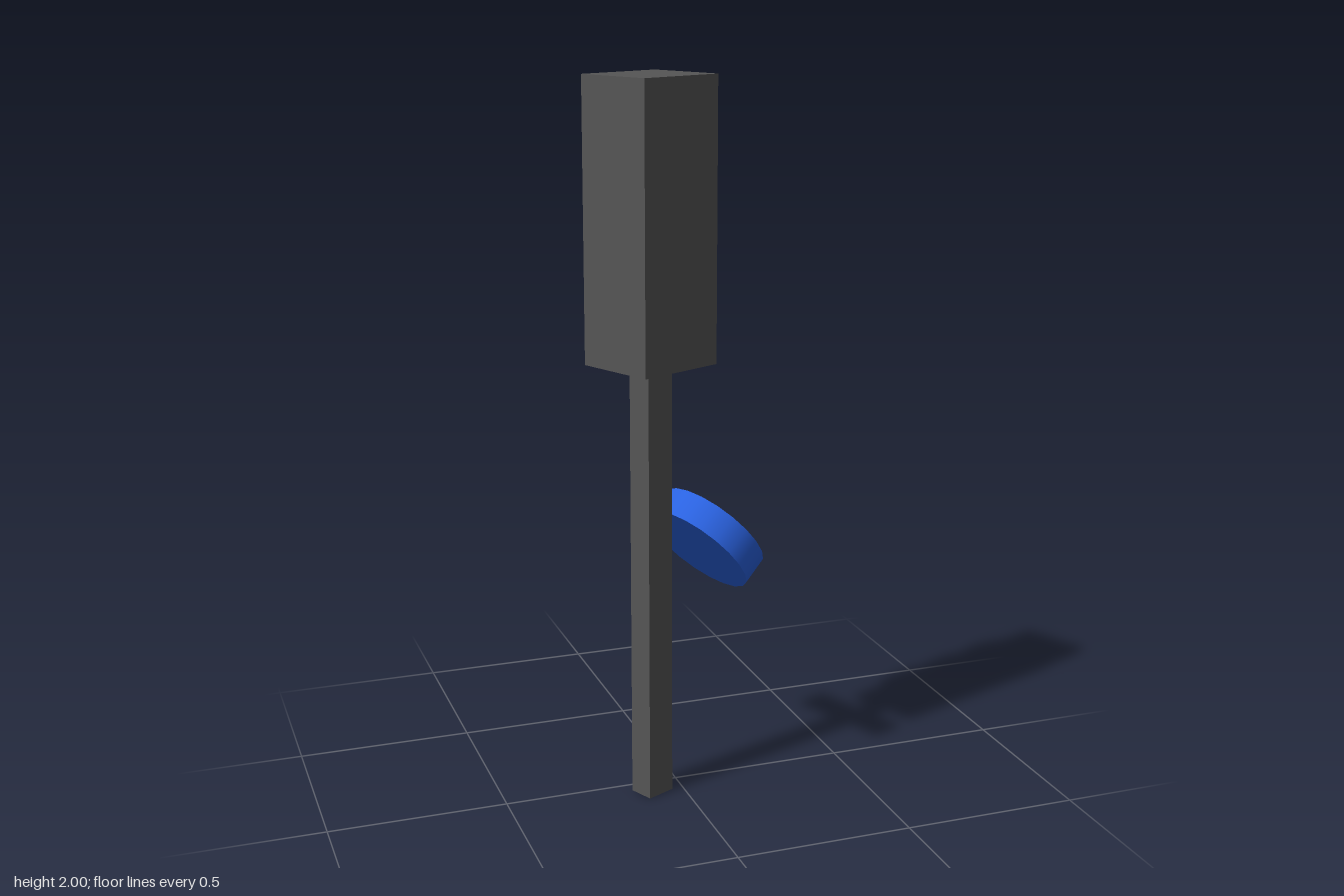
import * as THREE from 'three';

function makeMesh(name, geometry, color) {
  const mesh = new THREE.Mesh(geometry, new THREE.MeshStandardMaterial({ color }));
  mesh.name = name;
  return mesh;
}

export function createModel() {
  const model = new THREE.Group();
  model.name = 'trafficLight';

  // Signal post, turned about its vertical axis; lamps face local -z
  const signal = new THREE.Group();
  signal.name = 'signal';
  signal.position.set(-0.087, 0, 0.05);
  signal.rotation.y = THREE.MathUtils.degToRad(25);
  model.add(signal);

  const grey = 0x555555;
  const pole = makeMesh('pole', new THREE.BoxGeometry(0.087, 1.24, 0.073), grey);
  pole.position.y = 0.62;
  const housing = makeMesh('housing', new THREE.BoxGeometry(0.26, 0.76, 0.235), grey);
  housing.position.y = 1.62;
  signal.add(pole, housing);

  // Flattened round lamps
  const lamps = [
    ['redLamp', 1.825, 0xe01818],
    ['yellowLamp', 1.613, 0xcdb926],
    ['greenLamp', 1.398, 0x4fdc0c],
  ];
  for (const [name, y, color] of lamps) {
    const lamp = makeMesh(name, new THREE.SphereGeometry(0.095, 32, 20).scale(1, 1, 0.39), color);
    lamp.position.set(0, y, -0.1175);
    signal.add(lamp);
  }

  // Tilted disc beside the pole
  const disc = makeMesh('disc', new THREE.CylinderGeometry(0.167, 0.167, 0.084, 20), 0x2a62e0);
  const axis = new THREE.Vector3(0.71, 0.64, -0.3).normalize();
  const across = new THREE.Vector3(0.117, -0.105, 0.052).projectOnPlane(axis).normalize();
  const third = new THREE.Vector3().crossVectors(across, axis);
  disc.quaternion.setFromRotationMatrix(new THREE.Matrix4().makeBasis(across, axis, third));
  disc.position.set(0.105, 0.705, -0.041);
  model.add(disc);

  return model;
}
